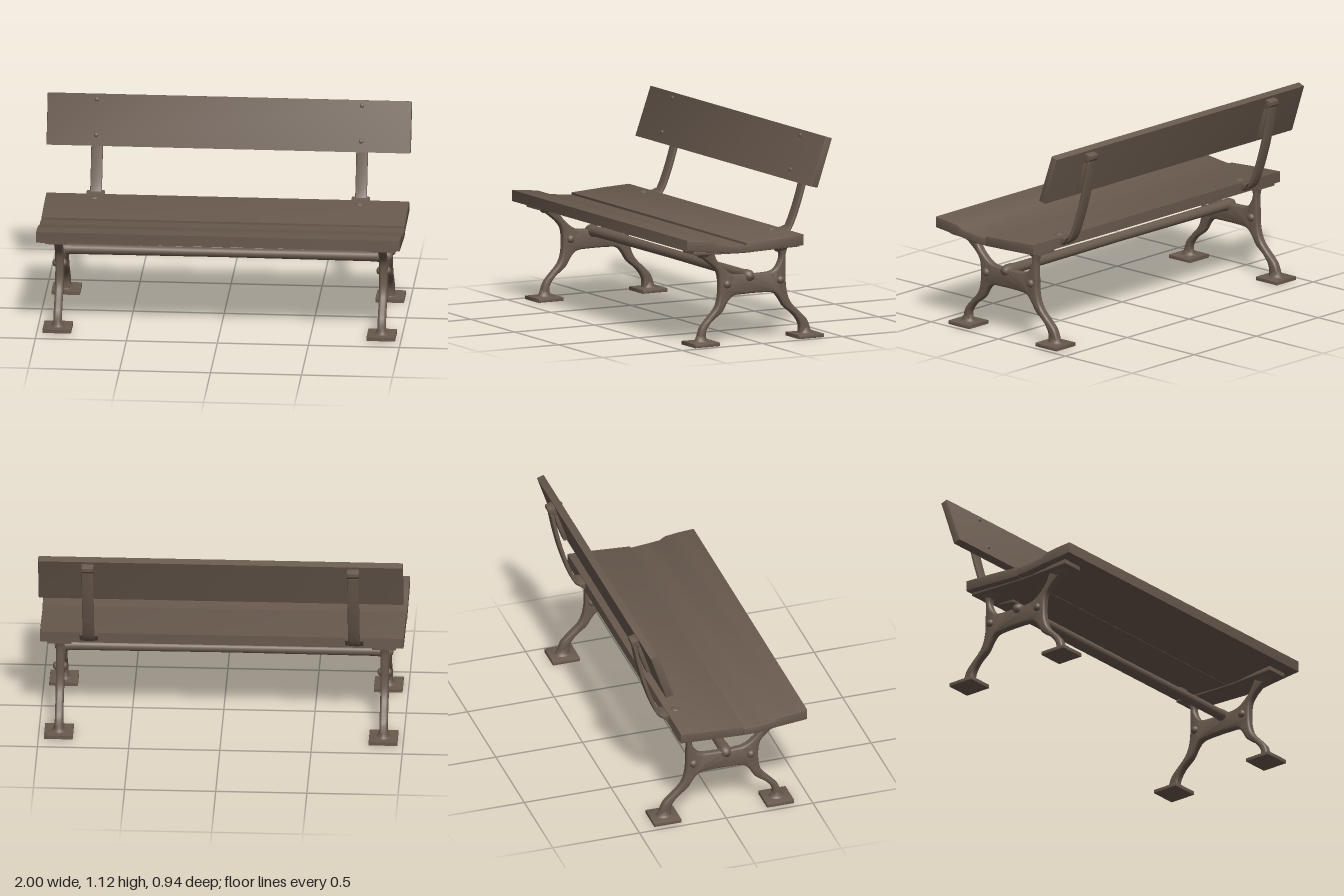
import * as THREE from 'three';
import { toCreasedNormals } from 'three/addons/utils/BufferGeometryUtils.js';

const darkBronze = new THREE.MeshStandardMaterial({ color: 0x695a4e });
darkBronze.name = 'darkBronze';

const vectors = (pts) => pts.map(([z, y]) => new THREE.Vector2(z, y));
const smooth = (pts, n = 24) => new THREE.SplineCurve(vectors(pts)).getPoints(n);

// Extrudes a side outline, given as (z, y), along x and centres it on x = 0
function sideExtrude(outline, width, bevel) {
  const depth = width - 2 * bevel;
  const geo = new THREE.ExtrudeGeometry(new THREE.Shape(outline), {
    depth, bevelEnabled: true, bevelThickness: bevel, bevelSize: bevel,
    bevelOffset: -bevel, bevelSegments: bevel > 0.01 ? 4 : 2,
  });
  geo.translate(0, 0, -depth / 2);
  geo.rotateY(-Math.PI / 2);
  return toCreasedNormals(geo, 0.6);
}

// Outline of a flat bar that follows a path in the side plane
function barOutline(pts, thickness) {
  const curve = new THREE.SplineCurve(vectors(pts));
  const a = [], b = [];
  for (let i = 0; i <= 28; i++) {
    const p = curve.getPoint(i / 28), t = curve.getTangent(i / 28);
    const n = new THREE.Vector2(-t.y, t.x).multiplyScalar(thickness / 2);
    a.push(p.clone().add(n));
    b.unshift(p.clone().sub(n));
  }
  return [...a, ...b];
}

function add(parent, name, geo, x = 0, y = 0, z = 0) {
  const mesh = new THREE.Mesh(geo, darkBronze);
  mesh.name = name;
  mesh.position.set(x, y, z);
  parent.add(mesh);
  return mesh;
}

// Rounded bolt head, its dome pointing along +y
function boltGeometry(r, h) {
  return new THREE.SphereGeometry(r, 16, 8, 0, Math.PI * 2, 0, Math.PI / 2).scale(1, h / r, 1);
}

export function createModel() {
  const bench = new THREE.Group();
  bench.name = 'bench';

  // Seat planks
  add(bench, 'frontSeatPlank', sideExtrude(vectors([
    [0.468, 0.606], [0.38, 0.6], [0.305, 0.59], [0.27, 0.57], [0.18, 0.56], [0.098, 0.553],
    [0.098, 0.512], [0.17, 0.512], [0.3, 0.528], [0.468, 0.545],
  ]), 2, 0.005));
  add(bench, 'rearSeatPlank', sideExtrude(vectors([
    [0.1, 0.565], [-0.1, 0.578], [-0.26, 0.585], [-0.26, 0.525], [-0.1, 0.518], [0.1, 0.51],
  ]), 1.995, 0.005));

  // Backrest board
  add(bench, 'backrestBoard', sideExtrude(vectors([
    [-0.397, 1.118], [-0.436, 1.105], [-0.346, 0.837], [-0.302, 0.848],
  ]), 2, 0.005));

  // Round stretcher between the leg frames, slightly slimmer at the middle
  const rail = new THREE.LatheGeometry(
    vectors([[0, -0.93], [0.022, -0.925], [0.033, -0.9], [0.033, -0.86], [0.029, -0.83], [0.026, 0],
      [0.029, 0.83], [0.033, 0.86], [0.033, 0.9], [0.022, 0.925], [0, 0.93]]), 20);
  add(bench, 'stretcher', rail.rotateZ(Math.PI / 2), 0, 0.364, 0.03);

  // Cast leg frame: outer front, lower arch, outer back, upper arch
  const frameGeo = sideExtrude([
    ...smooth([[0.385, 0.522], [0.31, 0.475], [0.24, 0.415], [0.219, 0.36], [0.219, 0.27], [0.24, 0.2],
      [0.3, 0.135], [0.335, 0.09], [0.355, 0.015]]),
    ...smooth([[0.29, 0.015], [0.3, 0.07], [0.265, 0.125], [0.2, 0.175], [0.165, 0.23], [0.13, 0.26],
      [0.07, 0.266], [-0.06, 0.266], [-0.125, 0.257], [-0.16, 0.22], [-0.19, 0.175], [-0.25, 0.125],
      [-0.285, 0.07], [-0.285, 0.015]], 48),
    ...smooth([[-0.36, 0.015], [-0.335, 0.09], [-0.3, 0.13], [-0.23, 0.2], [-0.202, 0.28],
      [-0.198, 0.38], [-0.197, 0.46], [-0.215, 0.522]]),
    ...smooth([[-0.125, 0.522], [-0.165, 0.47], [-0.15, 0.415], [-0.115, 0.382], [-0.05, 0.375],
      [0.08, 0.375], [0.14, 0.385], [0.19, 0.42], [0.23, 0.465], [0.255, 0.522]], 40),
  ], 0.046, 0.014);

  // Flat batten between the frame and the seat, following the underside
  const battenGeo = sideExtrude(vectors([
    [0.403, 0.54], [0.403, 0.515], [0.38, 0.511], [0.1, 0.503], [-0.256, 0.512], [-0.256, 0.53], [0.1, 0.516],
  ]), 0.13, 0.003);
  const footGeo = sideExtrude(vectors([[0.078, 0], [0.078, 0.02], [-0.078, 0.02], [-0.078, 0]]), 0.158, 0.003);
  const collarGeo = new THREE.LatheGeometry(
    smooth([[0.055, 0.016], [0.038, 0.027], [0.026, 0.055]], 8), 18).scale(0.85, 1, 1);
  collarGeo.computeVertexNormals();
  const topFlareGeo = new THREE.CylinderGeometry(0.042, 0.02, 0.03, 16).scale(1, 1, 1.4);

  // Curved backrest iron, its spacer and top lug
  const armGeo = sideExtrude(barOutline([
    [-0.12, 0.515], [-0.22, 0.527], [-0.268, 0.553], [-0.308, 0.585], [-0.35, 0.68], [-0.392, 0.81],
    [-0.422, 0.93], [-0.445, 1.045],
  ], 0.021), 0.064, 0.006);
  const spacerGeo = sideExtrude(vectors([
    [-0.34, 0.868], [-0.376, 0.862], [-0.408, 0.95], [-0.438, 1.05], [-0.418, 1.07],
  ]), 0.058, 0.004);
  const lugGeo = sideExtrude(vectors([
    [-0.42, 1.092], [-0.435, 1.09], [-0.468, 1.08], [-0.466, 1.06], [-0.448, 1.04], [-0.415, 1.035],
  ]), 0.066, 0.004);
  const seatLugGeo = sideExtrude(vectors([
    [-0.25, 0.58], [-0.285, 0.582], [-0.308, 0.59], [-0.29, 0.563], [-0.265, 0.54], [-0.25, 0.54],
  ]), 0.1, 0.004);

  for (const side of [1, -1]) {
    const label = side > 0 ? 'left' : 'right';

    const legs = new THREE.Group();
    legs.name = label + 'LegFrame';
    legs.position.x = side * 0.89;
    bench.add(legs);
    add(legs, 'castFrame', frameGeo);
    add(legs, 'seatBatten', battenGeo);
    for (const z of [0.325, -0.325]) {
      add(legs, 'footPlate', footGeo, 0, 0, z);
      add(legs, 'footCollar', collarGeo, 0, 0, z);
    }
    add(legs, 'frontTopFlare', topFlareGeo, 0, 0.5, 0.31);
    add(legs, 'rearTopFlare', topFlareGeo, 0, 0.5, -0.17);
    for (const z of [0.172, -0.16]) {
      for (const dir of [1, -1]) {
        const bolt = add(legs, 'frameBolt', boltGeometry(0.023, 0.02), dir * 0.021, 0.33, z);
        bolt.rotation.z = -dir * Math.PI / 2;
      }
    }

    const support = new THREE.Group();
    support.name = label + 'BackSupport';
    support.position.x = side * 0.728;
    bench.add(support);
    add(support, 'curvedIron', armGeo);
    add(support, 'spacer', spacerGeo);
    add(support, 'topLug', lugGeo);
    add(support, 'seatLug', seatLugGeo);
    add(support, 'seatBolt', boltGeometry(0.024, 0.011), 0, 0.58, -0.205);
    // Bolt heads on the face of the backrest
    for (const [y, z] of [[0.905, -0.322], [1.09, -0.386]]) {
      const bolt = add(support, 'backrestBolt', boltGeometry(0.012, 0.008), 0, y, z);
      bolt.rotation.x = Math.PI / 2 - 0.34;
    }
  }
  return bench;
}
